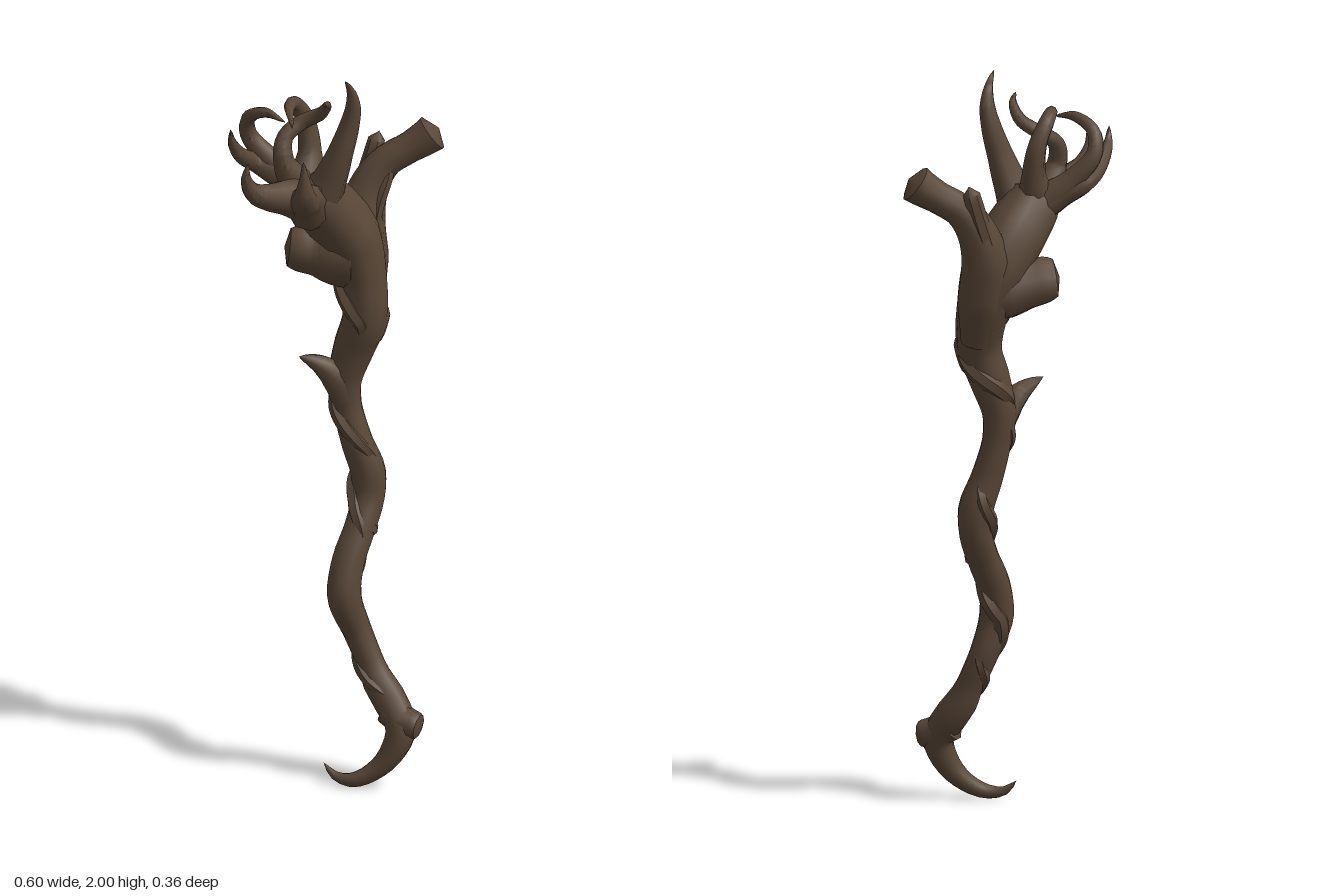
import * as THREE from 'three';
import { mergeVertices, toCreasedNormals } from 'three/addons/utils/BufferGeometryUtils.js';

const wood = new THREE.MeshStandardMaterial({ color: 0x594737 });
wood.name = 'dark wood';

// Tapered limb through points [x, y, z, radius, radius along z (optional)], flat-capped at both ends
function limb(name, pts, segments = 20, sides = 9, crease = 0.8) {
  const curve = new THREE.CatmullRomCurve3(pts.map(p => new THREE.Vector3(p[0], p[1], p[2])));
  const geo = new THREE.TubeGeometry(curve, segments, 1, sides, false);
  const pos = geo.attributes.position;
  const v = new THREE.Vector3();
  for (let i = 0; i <= segments; i++) {
    const centre = curve.getPointAt(i / segments);
    const ring = Math.min(Math.max(i, 1), segments - 1);
    const atEnd = ring !== i;
    const f = curve.getUtoTmapping(i / segments) * (pts.length - 1);
    const a = pts[Math.min(Math.floor(f), pts.length - 1)];
    const b = pts[Math.min(Math.floor(f) + 1, pts.length - 1)];
    const k = f - Math.floor(f);
    const rx = a[3] + (b[3] - a[3]) * k;
    const rz = (a[4] ?? a[3]) + ((b[4] ?? b[3]) - (a[4] ?? a[3])) * k;
    for (let j = 0; j <= sides; j++) {
      const n = i * (sides + 1) + j;
      v.fromBufferAttribute(pos, n).sub(centre);
      const s = atEnd ? 0 : 1;
      pos.setXYZ(n, centre.x + v.x * rx * s, centre.y + v.y * rx * s, centre.z + v.z * rz * s);
    }
  }
  geo.deleteAttribute('uv');
  geo.deleteAttribute('normal');
  const mesh = new THREE.Mesh(toCreasedNormals(mergeVertices(geo, 1e-5), crease), wood);
  mesh.name = name;
  return mesh;
}

// Crooked shaft, from the hooked foot up to the palm
const shaft = [
  [-0.053, 0.058, 0.065, 0.003], [-0.025, 0.027, 0.085, 0.012], [0.02, 0.022, 0.11, 0.02],
  [0.075, 0.05, 0.122, 0.026], [0.12, 0.1, 0.13, 0.034], [0.145, 0.17, 0.128, 0.042],
  [0.118, 0.24, 0.092, 0.046], [0.092, 0.285, 0.074, 0.043], [0.075, 0.33, 0.06, 0.036],
  [0.04, 0.42, 0.042, 0.039], [0.005, 0.52, 0.048, 0.047], [0.018, 0.61, 0.028, 0.045],
  [0.052, 0.69, 0, 0.043], [0.08, 0.77, -0.03, 0.045], [0.08, 0.84, -0.036, 0.048],
  [0.052, 0.92, -0.038, 0.043], [0.027, 1.02, -0.046, 0.039], [0.02, 1.1, -0.046, 0.046],
  [0.043, 1.19, -0.04, 0.056], [0.07, 1.28, -0.03, 0.06, 0.07], [0.063, 1.4, -0.05, 0.069, 0.092],
  [0.035, 1.5, -0.055, 0.084, 0.105], [-0.02, 1.58, -0.035, 0.085, 0.098],
  [-0.075, 1.65, 0, 0.078, 0.085], [-0.1, 1.71, 0.015, 0.062],
];

// Creeper winding round the shaft between two heights
function creeper(name, y0, y1, turns, phase, radius) {
  const pts = [], steps = 16;
  for (let i = 0; i <= steps; i++) {
    const k = i / steps, y = y0 + (y1 - y0) * k;
    const n = shaft.findIndex((p, q) => q > 3 && p[1] >= y);
    const a = shaft[n - 1], b = shaft[n], m = (y - a[1]) / (b[1] - a[1]);
    const mix = q => (a[q] ?? a[3]) + ((b[q] ?? b[3]) - (a[q] ?? a[3])) * m;
    const angle = phase + turns * k * Math.PI * 2;
    const sink = 0.4 + 0.45 * Math.sin(k * Math.PI);
    pts.push([
      mix(0) + Math.cos(angle) * mix(3) * sink, y,
      mix(2) + Math.sin(angle) * mix(4) * sink, radius * (0.5 + 0.5 * Math.sin(k * Math.PI)),
    ]);
  }
  return limb(name, pts, 48, 6);
}

export function createModel() {
  const model = new THREE.Group();
  model.name = 'gnarledStaff';
  model.add(limb('shaft', shaft, 90, 12));

  // Sawn side branch and stumps
  model.add(limb('sideBranch', [
    [0.085, 1.28, -0.06, 0.04], [0.078, 1.42, -0.09, 0.066], [0.072, 1.53, -0.11, 0.066],
    [0.098, 1.62, -0.122, 0.053], [0.14, 1.68, -0.122, 0.045], [0.2, 1.718, -0.115, 0.043],
    [0.25, 1.75, -0.11, 0.05], [0.28, 1.773, -0.107, 0.056],
  ], 26, 10));
  model.add(limb('branchSpur', [
    [0.055, 1.48, -0.135, 0.022], [0.075, 1.58, -0.148, 0.026], [0.1, 1.66, -0.152, 0.026],
    [0.127, 1.755, -0.155, 0.023],
  ], 12, 7));
  model.add(limb('branchVine', [
    [0.1, 1.5, -0.07, 0.014], [0.115, 1.58, -0.08, 0.018], [0.14, 1.65, -0.09, 0.016],
    [0.15, 1.705, -0.13, 0.014], [0.13, 1.7, -0.16, 0.008],
  ], 14, 6));
  model.add(limb('backStump', [
    [0.05, 1.45, -0.05, 0.1], [-0.01, 1.452, -0.06, 0.088], [-0.06, 1.458, -0.07, 0.068],
    [-0.1, 1.465, -0.072, 0.064], [-0.122, 1.468, -0.074, 0.056], [-0.138, 1.47, -0.076, 0.042],
  ], 16, 10));
  model.add(limb('footStump', [
    [0.105, 0.215, 0.09, 0.04], [0.15, 0.19, 0.125, 0.042], [0.183, 0.18, 0.148, 0.037],
    [0.197, 0.177, 0.157, 0.027],
  ], 12, 9));

  // Thorn and bumps along the shaft
  model.add(limb('thorn', [
    [0.035, 0.99, -0.042, 0.025], [0.018, 1.05, -0.04, 0.037], [-0.004, 1.105, -0.034, 0.04],
    [-0.04, 1.145, -0.026, 0.03], [-0.075, 1.167, -0.018, 0.018], [-0.109, 1.182, -0.01, 0.002],
  ], 16, 8));
  model.add(limb('upperBump', [
    [0.05, 1.2, -0.025, 0.04], [0.088, 1.245, -0.022, 0.04], [0.115, 1.28, -0.02, 0.023],
    [0.133, 1.305, -0.018, 0.008],
  ], 10, 8));
  model.add(limb('lowerBump', [
    [0.045, 0.71, -0.005, 0.035], [0.075, 0.695, 0.005, 0.028], [0.098, 0.68, 0.01, 0.014],
  ], 8, 7));

  // Winding creepers
  [
    ['footCreeper', 0.21, 0.46, 1, 0.3, 0.018],
    ['lowCreeper', 0.36, 0.68, 0.8, 2.2, 0.022],
    ['middleCreeper', 0.62, 0.96, 1, 0.2, 0.022],
    ['highCreeper', 0.82, 1.14, 0.9, 5.8, 0.02],
    ['neckCreeper', 1.08, 1.33, 0.9, 2.4, 0.024],
    ['topCreeper', 1.18, 1.5, 0.6, 0.8, 0.024],
  ].forEach(c => model.add(creeper(...c)));

  // Claw-like twigs spreading from the palm
  const claws = new THREE.Group();
  claws.name = 'claws';
  const twigs = {
    leftOuterClaw: [
      [-0.075, 1.645, -0.01, 0.06], [-0.15, 1.69, -0.033, 0.042], [-0.215, 1.722, -0.052, 0.028],
      [-0.26, 1.755, -0.02, 0.021], [-0.288, 1.8, 0.01, 0.014], [-0.297, 1.85, 0.03, 0.002],
    ],
    frontOuterClaw: [
      [-0.08, 1.63, 0.02, 0.065], [-0.15, 1.667, 0.075, 0.05], [-0.208, 1.688, 0.122, 0.037],
      [-0.252, 1.713, 0.15, 0.027], [-0.274, 1.76, 0.165, 0.014], [-0.27, 1.805, 0.172, 0.002],
    ],
    frontClaw: [
      [-0.08, 1.6, 0.01, 0.062], [-0.1, 1.65, 0.07, 0.052], [-0.112, 1.674, 0.125, 0.041],
      [-0.116, 1.7, 0.151, 0.029], [-0.118, 1.745, 0.162, 0.015], [-0.122, 1.8, 0.17, 0.002],
    ],
    tallClaw: [
      [-0.065, 1.62, 0.005, 0.07], [-0.032, 1.7, 0.035, 0.047], [-0.006, 1.78, 0.053, 0.035],
      [0.015, 1.85, 0.06, 0.028], [0.025, 1.91, 0.07, 0.021], [0.018, 1.96, 0.085, 0.012],
      [-0.002, 2.0, 0.108, 0.002],
    ],
    curledClawLeft: [
      [-0.1, 1.66, -0.02, 0.05], [-0.18, 1.73, -0.05, 0.031], [-0.236, 1.8, -0.062, 0.023],
      [-0.238, 1.855, -0.04, 0.019], [-0.2, 1.885, 0.01, 0.014], [-0.155, 1.875, 0.065, 0.002],
    ],
    curledClawBack: [
      [-0.09, 1.66, -0.01, 0.055], [-0.075, 1.75, -0.042, 0.032], [-0.085, 1.835, -0.052, 0.025],
      [-0.115, 1.89, -0.032, 0.021], [-0.138, 1.9, 0.02, 0.015], [-0.14, 1.865, 0.09, 0.002],
    ],
    curledClawRight: [
      [-0.11, 1.67, 0.01, 0.05], [-0.155, 1.755, 0.03, 0.028], [-0.148, 1.815, 0.012, 0.022],
      [-0.1, 1.85, 0, 0.021], [-0.055, 1.88, 0.025, 0.018], [-0.043, 1.918, 0.065, 0.011],
      [-0.062, 1.935, 0.11, 0.002],
    ],
  };
  for (const [name, pts] of Object.entries(twigs)) claws.add(limb(name, pts, 24, 8));
  model.add(claws);
  return model;
}
